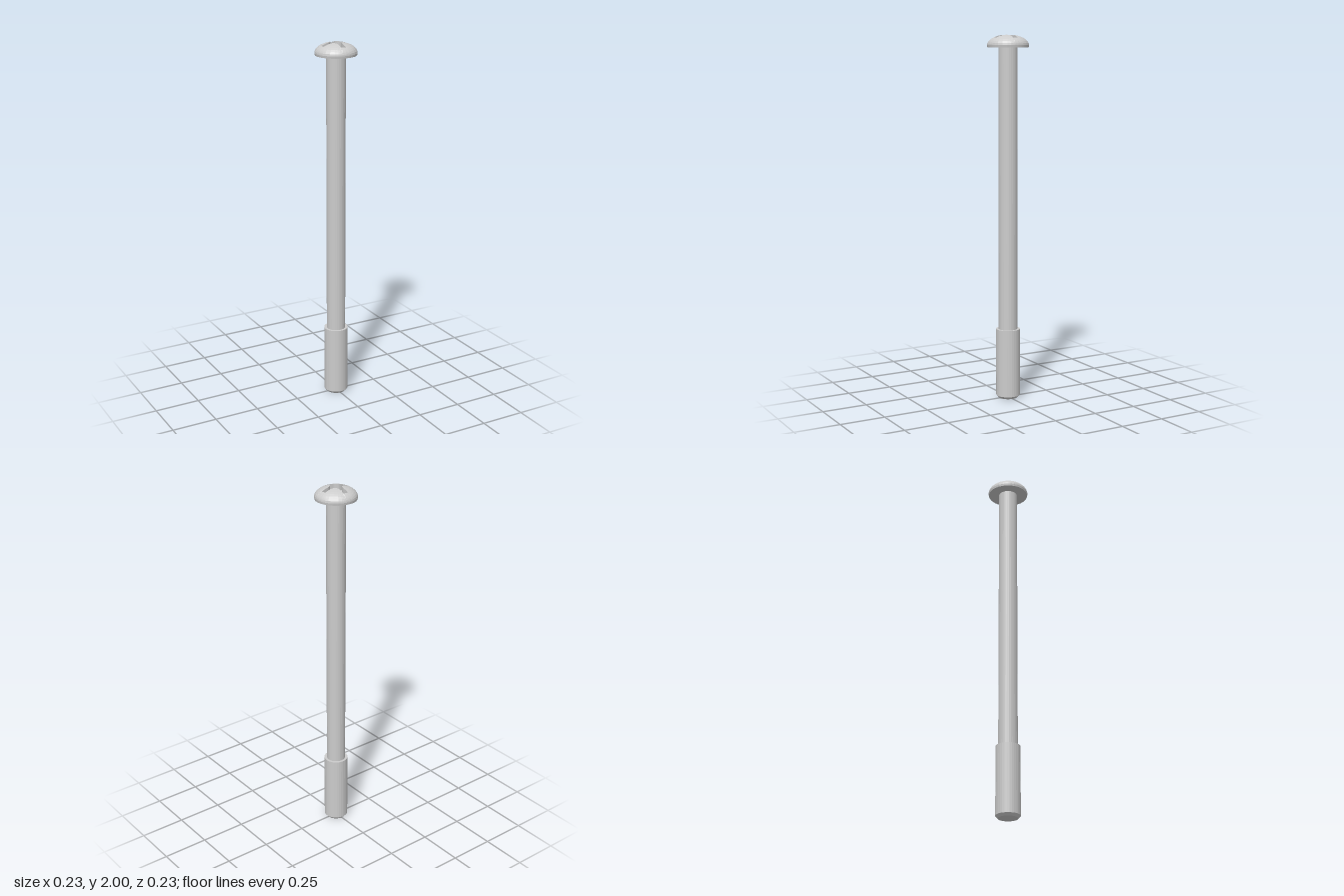
import * as THREE from 'three';

const material = new THREE.MeshStandardMaterial({ color: 0xcccccc, flatShading: true });

const HEAD_R = 0.113, RIM_Y = 1.945, APEX_Y = 2.002, UNDER_Y = 1.933, FLOOR_Y = 1.965;
const domeY = r => RIM_Y + (APEX_Y - RIM_Y) * Math.sqrt(Math.max(0, 1 - (r / HEAD_R) ** 2));

// Outline of the cross recess: four arms joined by rounded inner corners
function crossOutline(half = 0.0135, reach = 0.081, fillet = 0.03, steps = 6) {
  const quarter = [[reach, -half], [reach, 0], [reach, half], [0.06, half]];
  const c = half + fillet;
  for (let i = 0; i <= steps; i++) {
    const a = -Math.PI / 2 - (i / steps) * Math.PI / 2;
    quarter.push([c + fillet * Math.cos(a), c + fillet * Math.sin(a)]);
  }
  quarter.push([half, 0.06]);
  const points = [];
  for (let q = 0; q < 4; q++) {
    for (const [x, z] of quarter) {
      points.push(new THREE.Vector2(x, z).rotateAround(new THREE.Vector2(), q * Math.PI / 2));
    }
  }
  return points;
}

// Domed head as loops: recess floor, recess wall, dome, rim and underside
function headGeometry() {
  const outline = crossOutline(), n = outline.length, rows = 7;
  const loops = [
    () => [0, FLOOR_Y],
    r0 => [r0, FLOOR_Y],
  ];
  for (let k = 0; k <= rows; k++) {
    loops.push(r0 => {
      const r = r0 + (HEAD_R - r0) * Math.sin((k / rows) * Math.PI / 2);
      return [r, domeY(r)];
    });
  }
  loops.push(() => [HEAD_R - 0.002, UNDER_Y], () => [0.04, UNDER_Y]);

  const positions = [], index = [];
  for (const loop of loops) {
    for (const p of outline) {
      const [r, y] = loop(p.length()), a = p.angle();
      positions.push(r * Math.cos(a), y, r * Math.sin(a));
    }
  }
  for (let j = 0; j < loops.length - 1; j++) {
    for (let i = 0; i < n; i++) {
      const a = j * n + i, c = j * n + (i + 1) % n, b = a + n, d = c + n;
      if (j > 0) index.push(a, c, b);
      index.push(c, d, b);
    }
  }
  const geometry = new THREE.BufferGeometry();
  geometry.setAttribute('position', new THREE.Float32BufferAttribute(positions, 3));
  geometry.setIndex(index);
  geometry.computeVertexNormals();
  return geometry;
}

// Turned part from a radius/height profile, bottom to top
function turned(profile) {
  return new THREE.LatheGeometry(profile.map(([r, y]) => new THREE.Vector2(r, y)), 32);
}

export function createModel() {
  const group = new THREE.Group();
  group.name = 'screw';
  const add = (name, geometry) => {
    const mesh = new THREE.Mesh(geometry, material);
    mesh.name = name;
    group.add(mesh);
  };

  add('head', headGeometry());
  add('shank', turned([[0.052, 0.38], [0.052, 1.935]]));
  // Thicker end section with a chamfered tip
  add('threadedEnd', turned([[0, 0], [0.054, 0], [0.066, 0.014], [0.066, 0.39], [0.045, 0.39]]));
  return group;
}
